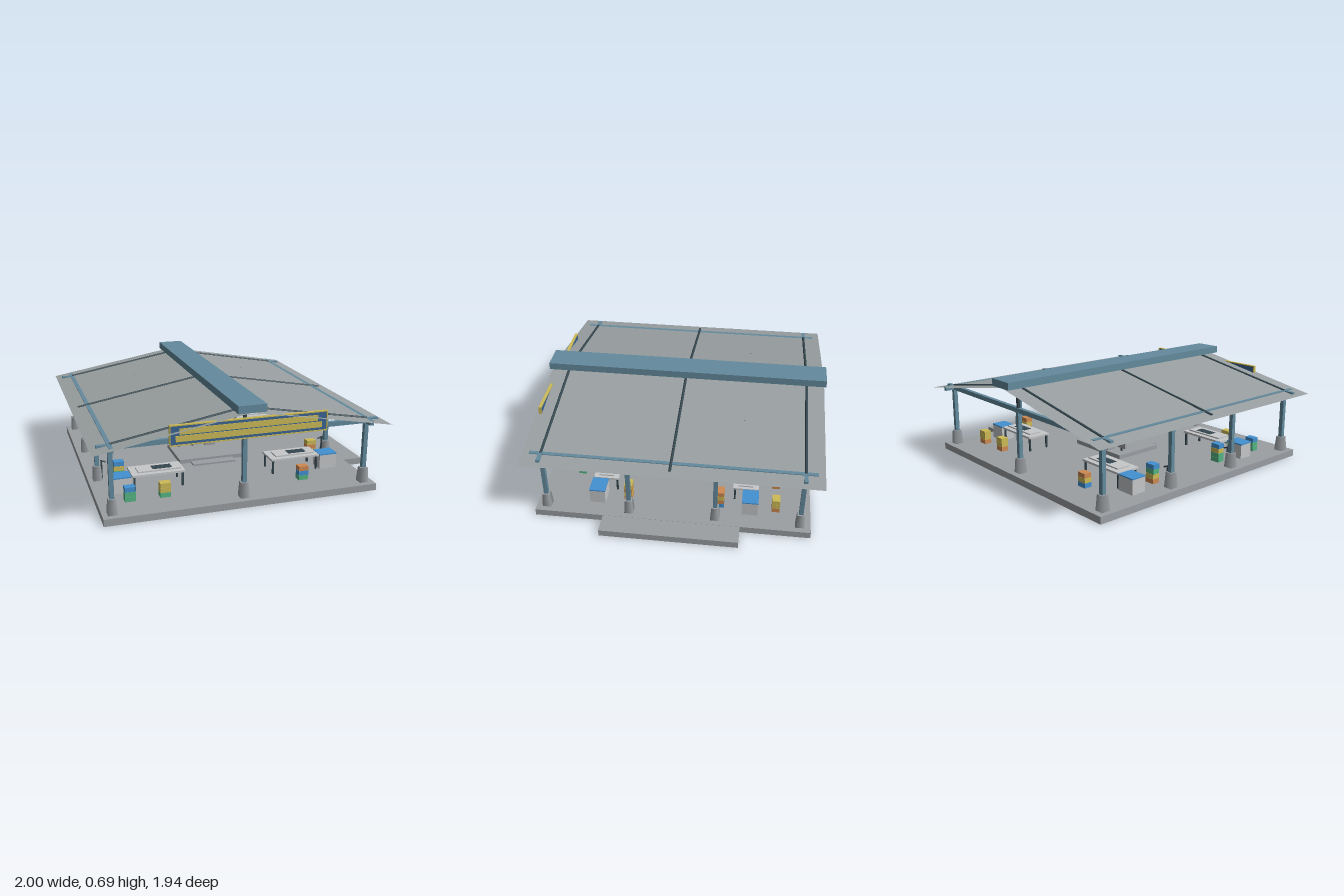
import * as THREE from 'three';

const mat = (name, color, extra = {}) => {
  const m = new THREE.MeshStandardMaterial({ color, ...extra });
  m.name = name;
  return m;
};

export function createModel() {
  const concrete = mat('concrete', 0x9b9fa3);
  const roofing = mat('roof sheet', 0x9aa0a1, { side: THREE.DoubleSide });
  const steel = mat('blue steel', 0x648b9e);
  const dark = mat('dark metal', 0x34474f);
  const pale = mat('pale grey', 0xc6c8ca);
  const blue = mat('bright blue', 0x4391d2);
  const green = mat('green', 0x55b684);
  const yellow = mat('yellow', 0xcdbb57);
  const orange = mat('orange', 0xcf8a52);
  const navy = mat('sign blue', 0x3a6593);

  const model = new THREE.Group();
  model.name = 'pavilion';
  const CX = -0.043, FLOOR = 0.046;

  const add = (name, geo, material, parent = model) => {
    const mesh = new THREE.Mesh(geo, material);
    mesh.name = name;
    parent.add(mesh);
    return mesh;
  };
  // Box given by its extents
  const box = (name, material, x0, x1, y0, y1, z0, z1, parent) => {
    const mesh = add(name, new THREE.BoxGeometry(x1 - x0, y1 - y0, z1 - z0), material, parent);
    mesh.position.set((x0 + x1) / 2, (y0 + y1) / 2, (z0 + z1) / 2);
    return mesh;
  };
  // Round rod between two points
  const rod = (name, material, a, b, r, parent) => {
    const A = new THREE.Vector3(...a), B = new THREE.Vector3(...b);
    const mesh = add(name, new THREE.CylinderGeometry(r, r, A.distanceTo(B), 10), material, parent);
    mesh.position.copy(A).add(B).multiplyScalar(0.5);
    mesh.quaternion.setFromUnitVectors(new THREE.Vector3(0, 1, 0), B.sub(A).normalize());
    return mesh;
  };
  const roofY = x => 0.634 - 0.178 * Math.abs(x - CX);

  // Floor slab and side step
  box('floorSlab', concrete, -0.943, 0.86, 0, FLOOR, -0.91, 0.91);
  box('sideStep', concrete, 0.86, 1.0, 0, FLOOR - 0.001, -0.452, 0.452);

  // Columns on tapered footings
  const columns = [];
  for (const s of [-1, 1]) {
    for (const z of [-0.84, -0.285, 0.285, 0.84]) columns.push([CX + s * 0.836, z]);
    columns.push([CX, s * 0.84]);
  }
  for (const [x, z] of columns) {
    const footing = add('footing', new THREE.CylinderGeometry(0.033, 0.042, 0.1, 4).rotateY(Math.PI / 4), concrete);
    footing.position.set(x, FLOOR + 0.05, z);
    box('column', steel, x - 0.014, x + 0.014, FLOOR + 0.1, 0.46, z - 0.014, z + 0.014);
  }

  // Eaves beams, gable ties and king posts
  for (const s of [-1, 1]) {
    const x = CX + s * 0.838, z = s * 0.84;
    box('eavesBeam', steel, x - 0.014, x + 0.014, 0.456, 0.487, -0.915, 0.915);
    box('tieBeam', steel, CX - 0.916, CX + 0.916, 0.455, 0.486, z - 0.013, z + 0.013);
    box('kingPost', dark, CX - 0.01, CX + 0.01, 0.486, 0.634, z - 0.01, z + 0.01);
  }

  // Two roof slopes with sloping rafters
  for (const s of [-1, 1]) {
    const xe = CX + s * 0.957, ye = roofY(xe);
    const slope = add('roofSlope', new THREE.PlaneGeometry(Math.hypot(0.957, 0.634 - ye), 1.92), roofing);
    slope.geometry.rotateX(-Math.PI / 2);
    slope.rotation.z = -s * Math.atan(0.178);
    slope.position.set((CX + xe) / 2, (0.634 + ye) / 2, 0);
    for (const z of [-0.84, 0, 0.84]) {
      const xr = CX + s * (z === 0 ? 0.905 : 0.838);
      rod('rafter', dark, [CX, 0.634, z], [xr, roofY(xr), z], 0.009);
    }
  }
  box('ridgeVent', steel, CX - 0.091, CX + 0.091, 0.636, 0.685, -0.972, 0.972);

  // Gable sign with border and two plain stripes
  const sign = new THREE.Group();
  sign.name = 'sign';
  model.add(sign);
  box('signPanel', navy, -0.54, 0.46, 0.472, 0.594, 0.922, 0.936, sign);
  box('signStripe', yellow, -0.483, 0.4, 0.535, 0.572, 0.936, 0.94, sign);
  box('signStripe', yellow, -0.507, 0.428, 0.491, 0.528, 0.936, 0.94, sign);
  for (const y of [0.47, 0.592]) box('signBorder', yellow, -0.543, 0.463, y - 0.003, y + 0.004, 0.92, 0.94, sign);
  for (const x of [-0.541, 0.461]) box('signBorder', yellow, x - 0.003, x + 0.003, 0.47, 0.594, 0.92, 0.94, sign);

  // Worktables with a tray, and storage bins with blue lids
  for (const sx of [-1, 1]) for (const sz of [-1, 1]) {
    const x = CX + sx * 0.478, z = sz * 0.475;
    const table = new THREE.Group();
    table.name = 'worktable';
    table.position.set(x, 0, z);
    model.add(table);
    box('tableTop', pale, -0.175, 0.175, 0.14, 0.154, -0.085, 0.085, table);
    box('tray', pale, -0.13, 0.155, 0.154, 0.163, -0.05, 0.05, table);
    box('trayBasin', dark, -0.03, 0.1, 0.163, 0.165, -0.03, 0.03, table);
    for (const lx of [-0.16, 0.16]) for (const lz of [-0.072, 0.072])
      box('tableLeg', dark, lx - 0.006, lx + 0.006, FLOOR, 0.14, lz - 0.006, lz + 0.006, table);

    const bx = CX + sx * 0.722, bz = sz * 0.51;
    box('binBody', pale, bx - 0.062, bx + 0.062, FLOOR, 0.145, bz - 0.052, bz + 0.052);
    box('binLid', blue, bx - 0.064, bx + 0.064, 0.145, 0.153, bz - 0.054, bz + 0.054);

    // Standpipe beside each middle column
    const px = CX + sx * 0.806;
    rod('standpipe', dark, [px, FLOOR, sz * 0.285], [px, 0.18, sz * 0.285], 0.006);
    rod('spout', dark, [px, 0.175, sz * 0.285], [px - sx * 0.03, 0.165, sz * 0.285], 0.005);
  }

  // Stacked crates, colours from the floor up
  const stacks = [
    [-0.74, 0.68, [green, green, blue]],
    [-0.515, 0.68, [green, yellow, yellow]],
    [0.43, 0.68, [green, blue, orange]],
    [0.66, 0.31, [orange, yellow, orange, yellow]],
    [-0.74, 0.31, [green, green, yellow, blue]],
    [-0.74, -0.31, [orange, yellow, green, blue]],
    [-0.515, -0.68, [blue, yellow, orange]],
    [0.43, -0.68, [orange, yellow, yellow]],
    [0.66, -0.68, [orange, yellow, yellow]],
    [0.66, -0.31, [blue, orange, yellow, orange]],
  ];
  for (const [x, z, colours] of stacks) {
    colours.forEach((m, i) => {
      const y = FLOOR + i * 0.032;
      box('crate', m, x - 0.034, x + 0.034, y, y + 0.031, z - 0.026, z + 0.026);
    });
  }

  // Ceiling fans
  for (const fx of [-0.46, CX, 0.39]) for (const fz of [-0.435, 0.435]) {
    const fan = new THREE.Group();
    fan.name = 'ceilingFan';
    fan.position.set(fx, 0.42, fz);
    model.add(fan);
    rod('fanStem', dark, [0, 0, 0], [0, roofY(fx) - 0.42, 0], 0.004, fan);
    add('fanHub', new THREE.CylinderGeometry(0.016, 0.016, 0.018, 16), pale, fan);
    for (let i = 0; i < 3; i++) {
      const blade = add('fanBlade', new THREE.BoxGeometry(0.085, 0.004, 0.022).translate(0.05, 0, 0), pale, fan);
      blade.rotation.y = i * Math.PI * 2 / 3;
    }
  }

  // Hanging discs on the centre line
  for (const x of [-0.29, 0.205]) {
    rod('hangerRod', dark, [x, 0.21, 0], [x, roofY(x), 0], 0.004);
    const disc = add('hangingDisc', new THREE.CylinderGeometry(0.031, 0.031, 0.014, 24).rotateZ(Math.PI / 2), pale);
    disc.position.set(x, 0.28, 0);
  }

  // Central plinth with cabinet, board and pump
  box('plinth', concrete, -0.28, 0.195, FLOOR, 0.074, -0.18, 0.18);
  box('plinthRamp', concrete, -0.2, 0.11, FLOOR, 0.058, 0.18, 0.25);
  box('cabinet', concrete, -0.02, 0.06, 0.074, 0.188, -0.135, -0.06);
  box('cabinetBase', concrete, -0.14, -0.02, 0.074, 0.135, -0.165, -0.1);
  box('board', concrete, -0.25, -0.17, 0.095, 0.215, -0.105, -0.088);
  rod('boardPost', dark, [-0.21, 0.074, -0.1], [-0.21, 0.1, -0.1], 0.006);
  rod('pumpPipe', dark, [-0.11, 0.074, -0.09], [-0.11, 0.18, -0.09], 0.007);
  box('pumpHead', pale, -0.14, -0.09, 0.165, 0.185, -0.1, -0.08);

  return model;
}
